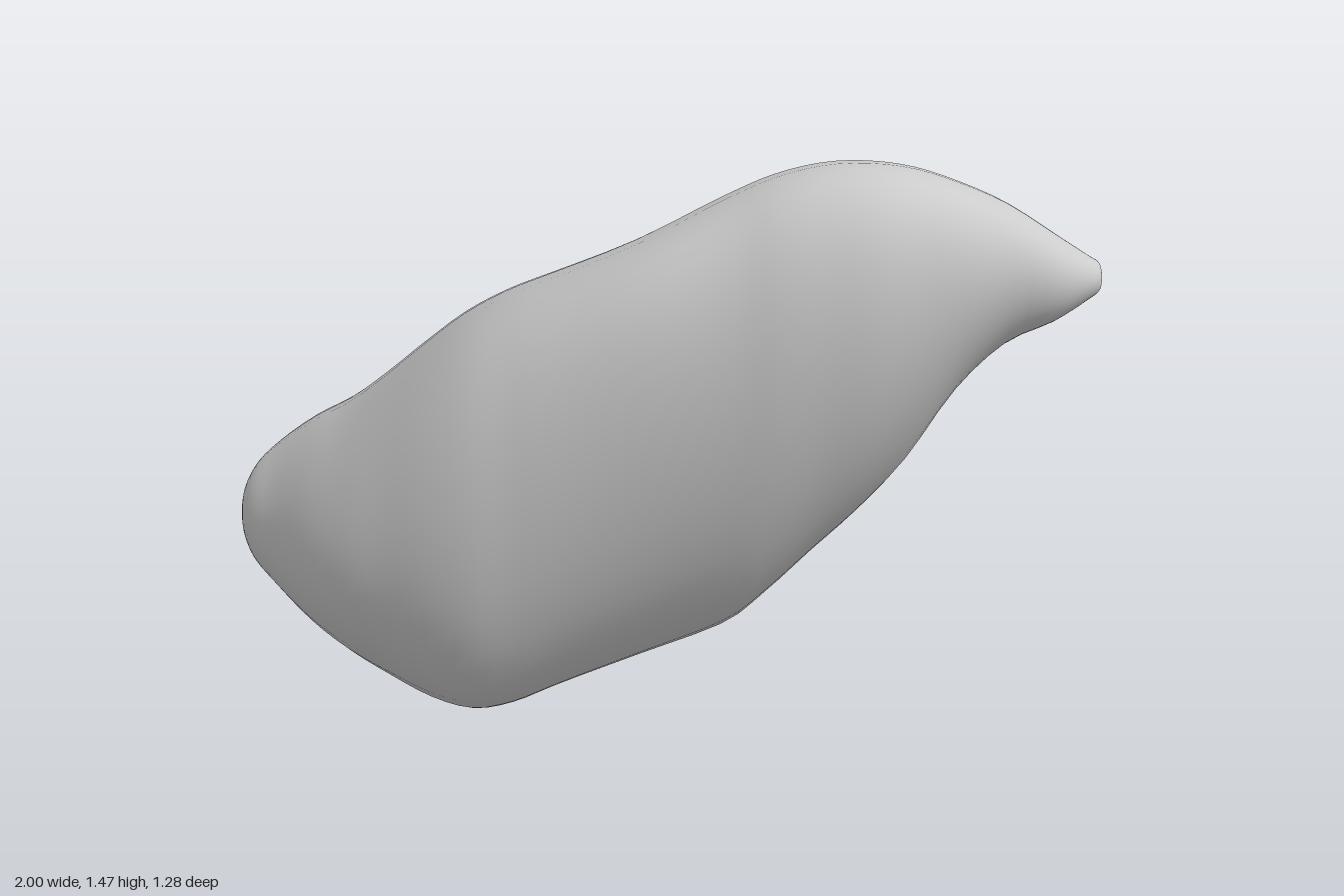
import * as THREE from 'three';

// Cross-sections along x: [x, top y, bottom y, back z, front z]
const SECTIONS = [
  [-1.0, 0.38, 0.38, -0.36, -0.36],
  [-0.992, 0.44, 0.32, -0.44, -0.28],
  [-0.96, 0.5, 0.265, -0.54, -0.175],
  [-0.9, 0.56, 0.22, -0.62, -0.06],
  [-0.8, 0.655, 0.17, -0.645, 0.12],
  [-0.7, 0.74, 0.12, -0.625, 0.24],
  [-0.6, 0.84, 0.07, -0.61, 0.32],
  [-0.5, 0.945, 0.025, -0.6, 0.39],
  [-0.4, 1.04, 0.0, -0.59, 0.44],
  [-0.3, 1.11, 0.015, -0.57, 0.47],
  [-0.2, 1.165, 0.06, -0.53, 0.5],
  [0.0, 1.27, 0.16, -0.42, 0.55],
  [0.2, 1.38, 0.27, -0.25, 0.59],
  [0.3, 1.43, 0.37, -0.18, 0.615],
  [0.4, 1.46, 0.49, -0.11, 0.63],
  [0.5, 1.47, 0.61, -0.03, 0.64],
  [0.6, 1.46, 0.75, 0.07, 0.635],
  [0.7, 1.43, 0.94, 0.2, 0.63],
  [0.8, 1.39, 1.07, 0.34, 0.62],
  [0.9, 1.33, 1.135, 0.44, 0.615],
  [0.97, 1.285, 1.185, 0.483, 0.59],
  [0.998, 1.265, 1.205, 0.495, 0.565],
  [1.0, 1.235, 1.235, 0.53, 0.53],
];

// [skew, pinch] in degrees, at even steps from x = -1 to 1.
// A skew of 90 is an upright ellipse; smaller values lean its top towards the front.
// Pinch narrows the back of the ellipse into an egg shape.
const LEAN = [[90, 0], [89, 7], [83, 12], [78, 15], [72, 15], [69, 15],
  [71, 10], [73, 8], [76, 7], [84, 2], [90, 0]];

// Smooth curve through chosen columns of the section table
const through = (pick) => new THREE.CatmullRomCurve3(
  SECTIONS.map((s) => new THREE.Vector3(...pick(s))), false, 'catmullrom', 0.5);

function bodyGeometry(sides = 40, steps = 3) {
  const height = through(([x, top, bottom]) => [x, (top + bottom) / 2, (top - bottom) / 2]);
  const depth = through(([x, , , back, front]) => [x, (back + front) / 2, (front - back) / 2]);
  const lean = new THREE.SplineCurve(LEAN.map((pair) =>
    new THREE.Vector2(...pair.map(THREE.MathUtils.degToRad))));
  const rings = (SECTIONS.length - 1) * steps;
  const positions = [], indices = [];

  for (let i = 0; i <= rings; i++) {
    const h = height.getPoint(i / rings), d = depth.getPoint(i / rings);
    const { x: skew, y: pinch } = lean.getPoint(THREE.MathUtils.clamp((h.x + 1) / 2, 0, 1));
    for (let j = 0; j < sides; j++) {
      const t = (j / sides) * Math.PI * 2;
      positions.push(h.x, h.y + h.z * Math.cos(t),
        d.y + d.z * Math.cos(t + pinch * Math.cos(t) - skew));
    }
  }
  for (let i = 0; i < rings; i++) {
    for (let j = 0; j < sides; j++) {
      const a = i * sides + j, b = i * sides + (j + 1) % sides;
      // The first and last rings are single points, so they need one triangle per side
      if (i > 0) indices.push(a, b, a + sides);
      if (i < rings - 1) indices.push(b, b + sides, a + sides);
    }
  }
  const geometry = new THREE.BufferGeometry();
  geometry.setAttribute('position', new THREE.Float32BufferAttribute(positions, 3));
  geometry.setIndex(indices);
  geometry.computeVertexNormals();
  return geometry;
}

export function createModel() {
  const group = new THREE.Group();
  group.name = 'taperedTuber';

  // One smooth body, blunt at the left end and pinched to a small tip at the right
  const body = new THREE.Mesh(bodyGeometry(),
    new THREE.MeshStandardMaterial({ color: 0xcccccc }));
  body.name = 'body';
  group.add(body);
  return group;
}
